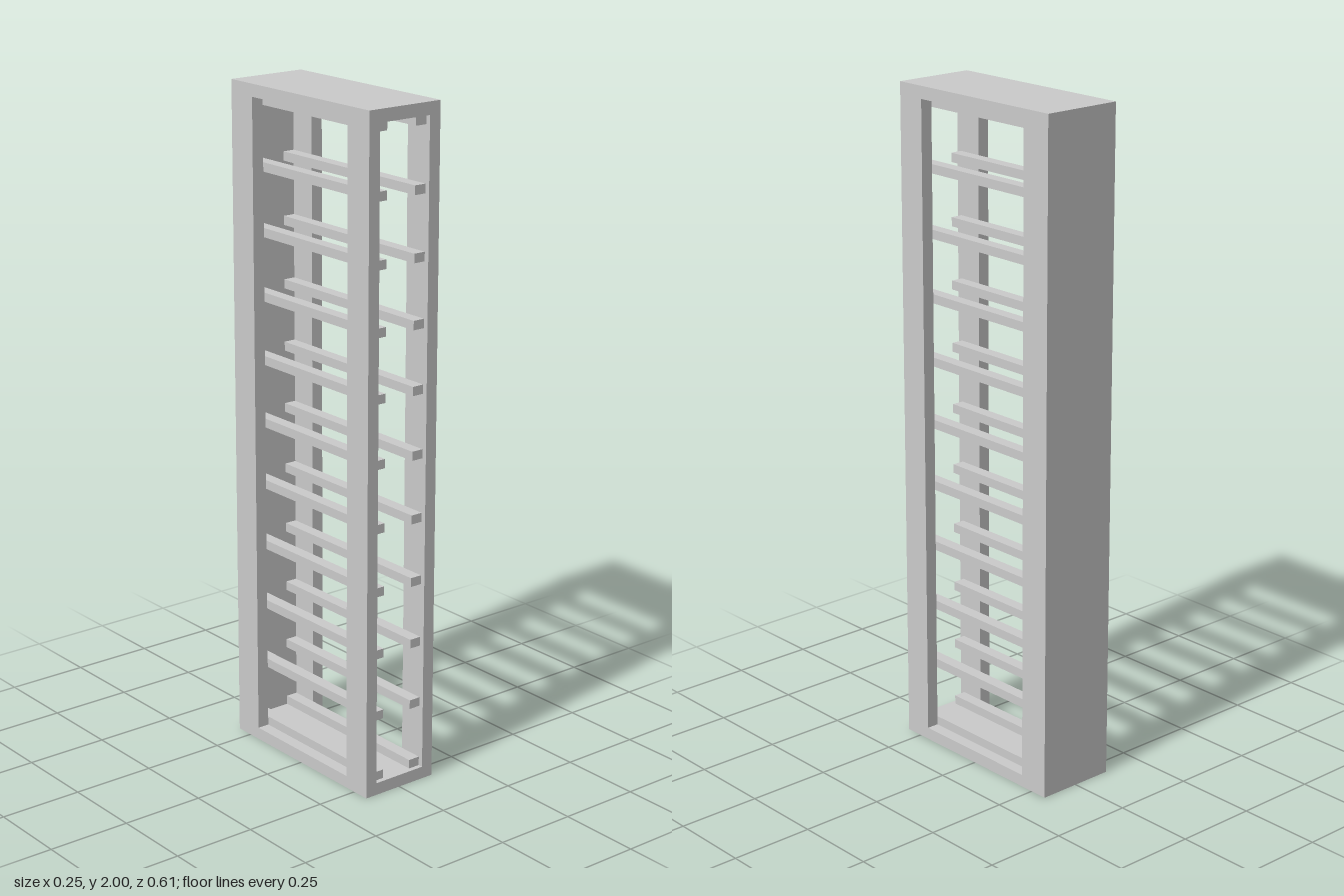
import * as THREE from 'three';

const material = new THREE.MeshStandardMaterial({ color: 0xcccccc, flatShading: true });

// Box given by its extents along each axis
function box(name, [x0, x1], [y0, y1], [z0, z1]) {
  const mesh = new THREE.Mesh(new THREE.BoxGeometry(x1 - x0, y1 - y0, z1 - z0), material);
  mesh.name = name;
  mesh.position.set((x0 + x1) / 2, (y0 + y1) / 2, (z0 + z1) / 2);
  return mesh;
}

// Extents mirrored to the given side of x = 0
const mirror = (a, b, side) => (side > 0 ? [a, b] : [-b, -a]);

export function createModel() {
  const model = new THREE.Group();
  model.name = 'rackCabinet';

  const W = 0.124, D = 0.305, H = 2;   // half width, half depth, height
  const T = 0.037;                     // frame thickness
  const inner = W - T;
  const backZ = -D + 0.012;            // inside face of the back panel
  const windowZ = [-0.209, 0.214];     // side window opening

  // Base, roof and closed back; the front stays open
  model.add(box('base', [-W, W], [0, T], [-D, D]));
  model.add(box('roof', [-W, W], [H - T, H], [-D, D]));
  model.add(box('backPanel', [-inner, inner], [T, H - T], [-D, backZ]));

  // Corner posts, leaving a tall window in each side
  for (const side of [1, -1]) {
    const x = mirror(inner, W, side);
    const label = side > 0 ? 'left' : 'right';
    model.add(box(label + 'FrontPost', x, [T, H - T], [windowZ[1], D]));
    model.add(box(label + 'BackPost', x, [T, H - T], [-D, windowZ[0]]));
  }

  // Paired shelf rails running front to back on the inside of the posts
  const count = 11, railH = 0.027;
  const step = (H - 2 * T - railH) / (count - 1);
  const rails = new THREE.Group();
  rails.name = 'rails';
  for (let i = 0; i < count; i++) {
    const y = T + i * step;
    for (const side of [1, -1]) {
      const name = (side > 0 ? 'left' : 'right') + 'Rail' + (i + 1);
      rails.add(box(name, mirror(inner - 0.037, inner, side), [y, y + railH], [backZ, 0.29]));
    }
  }
  model.add(rails);
  return model;
}
